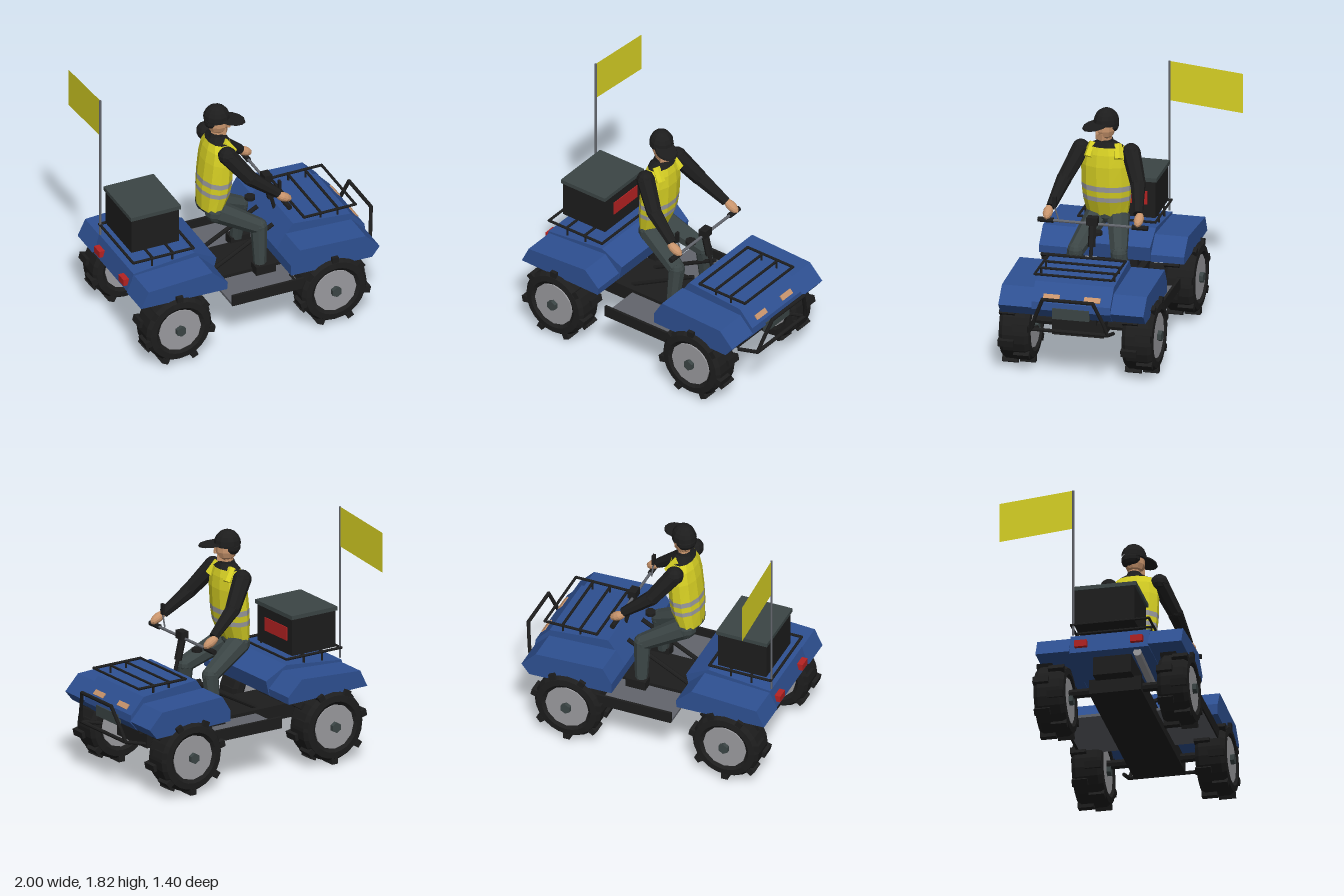
import * as THREE from 'three';

const mat = (name, color) => Object.assign(new THREE.MeshStandardMaterial({ color }), { name });
const blue = mat('bodyBlue', 0x2e5092), black = mat('black', 0x1d1d1d), yellow = mat('safetyYellow', 0xd8d124);
const silver = mat('silver', 0x9a9a9e), grey = mat('plateGrey', 0x62656c), slate = mat('slate', 0x3b4545);
const skin = mat('skin', 0xc8946c), red = mat('red', 0xb42222);
yellow.side = THREE.DoubleSide;

const V = (x, y, z) => new THREE.Vector3(x, y, z);

function flat(geo) {
  const g = geo.index ? geo.toNonIndexed() : geo;
  g.computeVertexNormals();
  return g;
}

export function createModel() {
  const root = new THREE.Group();
  root.name = 'quadBikeWithRider';
  const bike = new THREE.Group();
  bike.name = 'quadBike';
  bike.position.z = 0.115; // the flag reaches out to one side, so the bike sits off centre
  root.add(bike);

  const add = (name, geo, m, pos = [0, 0, 0], parent = bike) => {
    const mesh = new THREE.Mesh(flat(geo), m);
    mesh.name = name;
    mesh.position.set(...pos);
    parent.add(mesh);
    return mesh;
  };
  // box given by its limits on each axis
  const box = (name, m, x0, x1, y0, y1, z0, z1, parent) =>
    add(name, new THREE.BoxGeometry(x1 - x0, y1 - y0, z1 - z0), m,
      [(x0 + x1) / 2, (y0 + y1) / 2, (z0 + z1) / 2], parent);
  // tapered rod from a to b
  const rod = (name, m, a, b, r0, r1 = r0, sides = 8, parent = bike) => {
    const p = V(...a), q = V(...b), d = q.clone().sub(p);
    const mesh = add(name, new THREE.CylinderGeometry(r1, r0, d.length(), sides), m, [0, 0, 0], parent);
    mesh.position.copy(p).add(q).multiplyScalar(0.5);
    mesh.quaternion.setFromUnitVectors(V(0, 1, 0), d.normalize());
    return mesh;
  };
  const ball = (name, m, pos, rx, ry = rx, rz = rx, parent = bike) => {
    const g = new THREE.SphereGeometry(1, 10, 7);
    g.scale(rx, ry, rz);
    return add(name, g, m, pos, parent);
  };
  // side profile (x, y) extruded across z
  const prism = (name, m, pts, z0, z1) => {
    const shape = new THREE.Shape(pts.map(p => new THREE.Vector2(...p)));
    return add(name, new THREE.ExtrudeGeometry(shape, { depth: z1 - z0, bevelEnabled: false }), m, [0, 0, z0]);
  };

  // wheels with staggered tread blocks
  const tyre = [[0.16, -0.09], [0.19, -0.115], [0.235, -0.11], [0.257, -0.08], [0.257, 0.08],
    [0.235, 0.11], [0.19, 0.115], [0.16, 0.09]].map(p => new THREE.Vector2(...p));
  for (const x of [-0.697, 0.53]) {
    for (const s of [-1, 1]) {
      const wheel = new THREE.Group();
      wheel.name = (x > 0 ? 'front' : 'rear') + 'Wheel';
      wheel.position.set(x, 0.283, s * 0.453);
      bike.add(wheel);
      const disc = (name, r, len, sides, m) =>
        add(name, new THREE.CylinderGeometry(r, r, len, sides).rotateX(Math.PI / 2), m, [0, 0, 0], wheel);
      add('tyre', new THREE.LatheGeometry(tyre, 24).rotateX(Math.PI / 2), black, [0, 0, 0], wheel);
      disc('rim', 0.166, 0.205, 12, silver);
      disc('hub', 0.04, 0.265, 6, slate);
      for (let i = 0; i < 14; i++) {
        const a = (i + 0.5) / 14 * Math.PI * 2;
        const lug = add('treadBlock', new THREE.BoxGeometry(0.045, 0.05, 0.115), black,
          [Math.cos(a) * 0.258, Math.sin(a) * 0.258, i % 2 ? 0.052 : -0.052], wheel);
        lug.rotation.z = a;
      }
    }
    rod('axle', black, [x, 0.33, -0.36], [x, 0.33, 0.36], 0.035);
    box('bodyMount', black, x - 0.18, x + 0.18, 0.38, 0.53, -0.14, 0.14);
  }

  // chassis and foot wells
  box('chassis', black, -0.78, 0.68, 0.28, 0.39, -0.19, 0.19);
  for (const s of [-1, 1]) {
    const f = add('footPlate', new THREE.BoxGeometry(0.6, 0.02, 0.33), grey, [0.035, 0.355, s * 0.345]);
    f.name = s > 0 ? 'leftSideFootPlate' : 'rightSideFootPlate';
    box('footPlateLip', black, -0.265, 0.335, 0.345, 0.43, s * 0.51 - 0.01, s * 0.51 + 0.01);
    rod('frameBar', black, [-0.31, 0.385, s * 0.13], [0.235, 0.68, s * 0.13], 0.016);
  }
  rod('exhaust', silver, [-0.94, 0.5, 0.2], [-0.45, 0.465, 0.2], 0.032);

  // raised middle bodywork with a lower fender each side
  prism('frontHood', blue, [[0.19, 0.49], [0.83, 0.47], [0.89, 0.54], [0.885, 0.595], [0.775, 0.715],
    [0.32, 0.755], [0.19, 0.57]], -0.29, 0.29);
  prism('rearHood', blue, [[-0.98, 0.52], [-0.31, 0.52], [-0.285, 0.63], [-0.46, 0.72], [-0.94, 0.67]], -0.29, 0.29);
  for (const z of [-0.535, 0.289]) {
    prism('frontFender', blue, [[0.19, 0.49], [0.83, 0.475], [0.89, 0.55], [0.78, 0.665], [0.26, 0.685],
      [0.19, 0.57]], z, z + 0.246);
    prism('rearFender', blue, [[-0.995, 0.53], [-0.315, 0.515], [-0.31, 0.57], [-0.43, 0.685], [-0.935, 0.655]], z, z + 0.246);
  }

  // luggage racks
  const rack = (name, y, xs) => {
    xs.forEach(x => rod(name + 'Bar', black, [x, y, -0.29], [x, y, 0.29], 0.01, 0.01, 6));
    for (const s of [-1, 1]) {
      rod(name + 'Rail', black, [xs[0], y, s * 0.285], [xs[3], y, s * 0.285], 0.01, 0.01, 6);
      for (const x of [xs[1], xs[2]]) rod(name + 'Post', black, [x, y - 0.07, s * 0.27], [x, y, s * 0.27], 0.008);
    }
  };
  rack('frontRack', 0.78, [0.41, 0.545, 0.68, 0.815]);
  rack('rearRack', 0.76, [-0.94, -0.785, -0.625, -0.465]);

  // cargo box
  box('cargoBox', black, -0.9, -0.525, 0.77, 1.045, -0.27, 0.17);
  box('cargoLid', slate, -0.91, -0.515, 1.045, 1.075, -0.28, 0.185);
  box('cargoReflector', red, -0.525, -0.519, 0.87, 0.97, -0.21, 0.07);

  // pole and flag
  rod('flagPole', grey, [-0.94, 0.68, -0.27], [-0.94, 1.82, -0.27], 0.008, 0.008, 6);
  const flagShape = new THREE.Shape([[0.27, 1.52], [0.81, 1.47], [0.81, 1.77], [0.27, 1.82]].map(p => new THREE.Vector2(...p)));
  add('flag', new THREE.ShapeGeometry(flagShape).rotateY(Math.PI / 2), yellow, [-0.94, 0, 0]);

  // lights and number board
  for (const s of [-1, 1]) {
    box('tailLight', red, -1, -0.955, 0.56, 0.61, s * 0.205 - 0.045, s * 0.205 + 0.045);
    const lamp = add('headLight', new THREE.BoxGeometry(0.008, 0.04, 0.12), skin, [0.858, 0.632, s * 0.15]);
    lamp.rotation.z = 0.74;
  }
  box('frontBoard', slate, 0.865, 0.897, 0.48, 0.56, -0.135, 0.135);

  // front bumper
  const bumper = [[0.76, 0.355, -0.28], [0.925, 0.4, -0.28], [0.95, 0.5, -0.25], [0.985, 0.655, -0.185]];
  const path = [...bumper, ...bumper.map(([x, y, z]) => [x, y, -z]).reverse()];
  path.slice(1).forEach((p, i) => {
    rod('bumperTube', black, path[i], p, 0.014);
    ball('bumperJoint', black, p, 0.014);
  });
  rod('bumperCrossbar', black, [0.925, 0.4, -0.28], [0.925, 0.4, 0.28], 0.014);

  // steering and fuel cap
  rod('steeringShaft', black, [0.31, 0.72, 0], [0.28, 0.83, 0], 0.014);
  rod('steeringColumn', black, [0.28, 0.82, 0], [0.24, 0.99, 0], 0.028, 0.028, 6);
  box('instrument', black, 0.215, 0.275, 0.975, 1.035, -0.04, 0.04);
  rod('handlebar', grey, [0.24, 0.98, -0.3], [0.24, 0.98, 0.3], 0.011);
  for (const s of [-1, 1]) rod('grip', black, [0.24, 0.98, s * 0.29], [0.24, 0.98, s * 0.405], 0.02);
  rod('mirrorStalk', grey, [0.215, 0.98, 0.26], [0.215, 1.08, 0.29], 0.006);
  box('mirror', black, 0.203, 0.223, 1.07, 1.15, 0.275, 0.305);
  rod('fuelCap', black, [0.115, 0.853, 0], [0.115, 0.877, 0], 0.04);

  // rider
  const rider = new THREE.Group();
  rider.name = 'rider';
  bike.add(rider);

  // torso from elliptical sections: y, back x, front x, half width
  const sections = [[0.9, -0.29, -0.12, 0.15], [1.03, -0.292, -0.065, 0.175], [1.065, -0.29, -0.06, 0.178],
    [1.11, -0.286, -0.053, 0.182], [1.15, -0.283, -0.05, 0.184], [1.3, -0.265, -0.042, 0.184],
    [1.39, -0.245, -0.05, 0.17], [1.445, -0.225, -0.065, 0.13], [1.48, -0.2, -0.09, 0.055]];
  const bands = [yellow, silver, yellow, silver, yellow, yellow, yellow, black];
  const N = 12;
  const ring = ([y, x0, x1, w]) => Array.from({ length: N + 1 }, (_, j) => {
    const a = (j + 0.5) / N * Math.PI * 2;
    return V((x0 + x1) / 2 + Math.cos(a) * (x1 - x0) / 2, y, Math.sin(a) * w);
  });
  bands.forEach((m, i) => {
    const lo = ring(sections[i]), hi = ring(sections[i + 1]), pts = [];
    for (let j = 0; j < N; j++) pts.push(lo[j], hi[j], lo[j + 1], lo[j + 1], hi[j], hi[j + 1]);
    add(m === silver ? 'reflectiveStripe' : m === black ? 'shirtYoke' : 'vest',
      new THREE.BufferGeometry().setFromPoints(pts), m, [0, 0, 0], rider);
  });
  ball('hips', slate, [-0.2, 0.91, 0], 0.09, 0.075, 0.15, rider);
  rod('collar', black, [-0.15, 1.45, 0], [-0.145, 1.495, 0], 0.065, 0.052, 10, rider);
  rod('neck', skin, [-0.15, 1.47, 0], [-0.142, 1.56, 0], 0.045, 0.045, 8, rider);

  // arms and legs, mirrored
  const limb = (name, m, pts, radii) => pts.slice(1).forEach((p, i) => {
    ball(name + 'Joint', m, pts[i], radii[i], radii[i], radii[i], rider);
    rod(name, m, pts[i], p, radii[i], radii[i + 1], 8, rider);
  });
  for (const s of [-1, 1]) {
    limb('sleeve', black, [[-0.15, 1.4, s * 0.185], [-0.01, 1.22, s * 0.27], [0.19, 1.065, s * 0.32]], [0.068, 0.056, 0.036]);
    const hand = ball('hand', skin, [0.225, 1.035, s * 0.335], 0.068, 0.034, 0.036, rider);
    hand.rotation.z = -0.5;
    limb('trouserLeg', slate, [[-0.19, 0.88, s * 0.08], [0.11, 0.715, s * 0.16], [0.1, 0.42, s * 0.2]], [0.085, 0.062, 0.046]);
    box('boot', black, 0.045, 0.2, 0.365, 0.435, s * 0.215 - 0.045, s * 0.215 + 0.045, rider);
    // vest shoulder straps
    rod('vestStrap', yellow, [-0.07, 1.37, s * 0.11], [-0.13, 1.462, s * 0.09], 0.035, 0.03, 6, rider);
  }

  // head turned to one side, with peaked cap
  const head = new THREE.Group();
  head.name = 'head';
  head.position.set(-0.145, 0, 0);
  head.rotation.y = -0.6;
  rider.add(head);
  ball('face', skin, [0.005, 1.585, 0], 0.08, 0.098, 0.07, head);
  box('jaw', skin, 0.01, 0.07, 1.497, 1.55, -0.035, 0.035, head);
  const nose = add('nose', new THREE.ConeGeometry(0.016, 0.05, 4), skin, [0.087, 1.572, 0], head);
  nose.rotation.z = -0.2;
  ball('hair', black, [-0.035, 1.595, 0], 0.062, 0.06, 0.079, head);
  const crown = new THREE.SphereGeometry(1, 12, 5, 0, Math.PI * 2, 0, Math.PI / 2);
  crown.scale(0.098, 0.105, 0.088);
  add('capCrown', crown, black, [-0.003, 1.62, 0], head);
  rod('capBand', black, [-0.003, 1.605, 0], [-0.003, 1.622, 0], 0.088, 0.088, 12, head);
  const peak = new THREE.CylinderGeometry(0.075, 0.08, 0.014, 12);
  peak.scale(1.35, 1, 1);
  add('capPeak', peak, black, [0.1, 1.618, 0], head).rotation.z = -0.12;

  return root;
}
